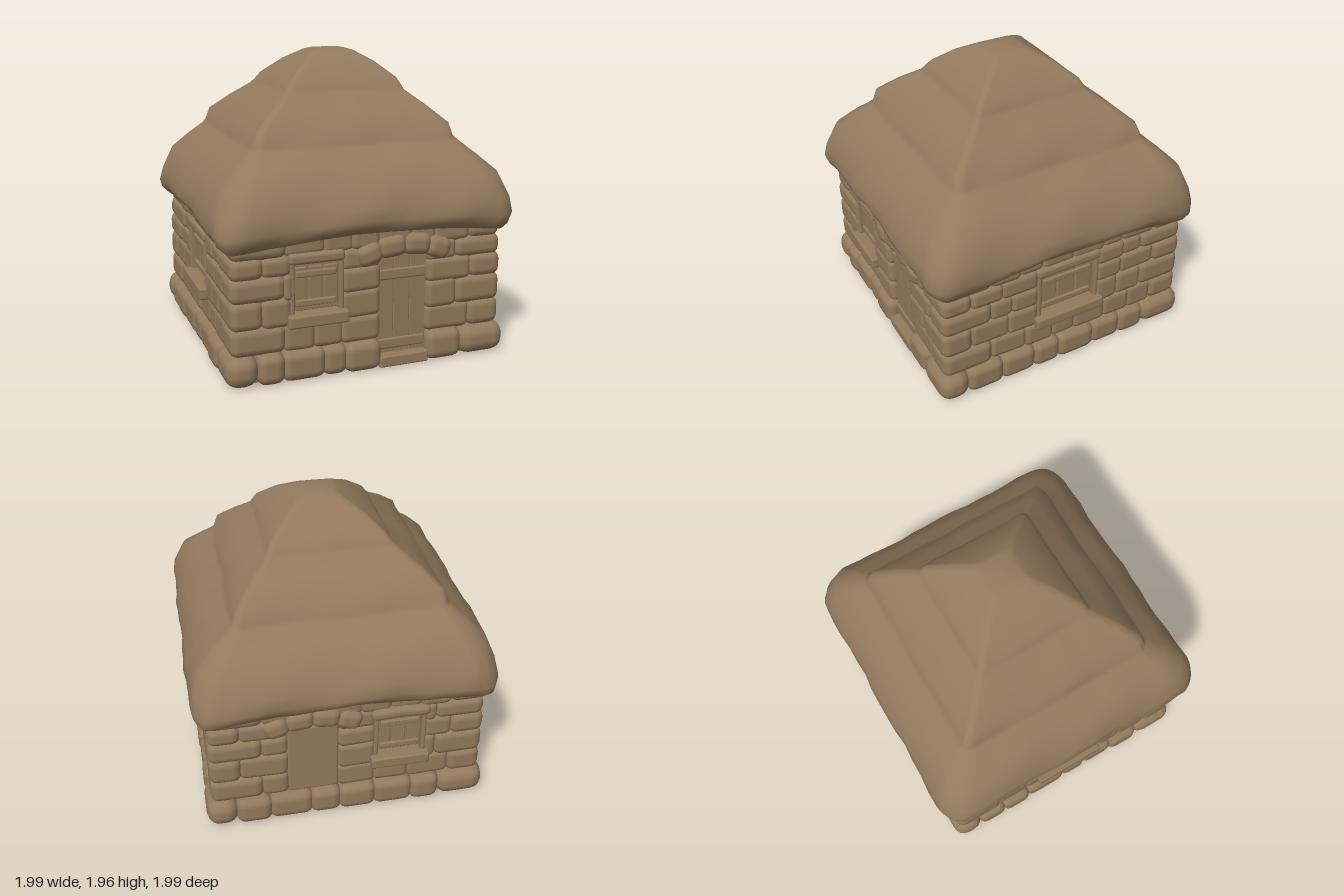
import * as THREE from 'three';
import { RoundedBoxGeometry } from 'three/addons/geometries/RoundedBoxGeometry.js';

const clay = new THREE.MeshStandardMaterial({ color: 0x937a5d });
clay.name = 'brown clay';

function seeded(s) {
  return () => {
    s = (s * 16807) % 2147483647;
    return s / 2147483647;
  };
}
const rand = seeded(4271);
const jitter = (a) => (rand() - 0.5) * 2 * a;

// One soft-edged block, centred at (x, y, z)
function block(parent, name, w, h, d, x, y, z, r = 0.02, rotZ = 0) {
  const radius = Math.min(r, w * 0.48, h * 0.48, d * 0.48);
  const mesh = new THREE.Mesh(new RoundedBoxGeometry(w, h, d, 2, radius), clay);
  mesh.name = name;
  mesh.position.set(x, y, z);
  mesh.rotation.z = rotZ;
  parent.add(mesh);
  return mesh;
}

// Stone courses: bottom, top, outer face distance
const COURSES = [
  [0.0, 0.2, 0.935], [0.2, 0.36, 0.9], [0.36, 0.53, 0.9],
  [0.53, 0.67, 0.9], [0.67, 0.79, 0.895], [0.79, 0.92, 0.89],
];
const LAP = 0.012;

// One wall facing local +z; holes are [x0, x1, y0, y1] kept clear of stones
function wall(name, angle, holes) {
  const g = new THREE.Group();
  g.name = name;
  g.rotation.y = angle;
  COURSES.forEach(([y0, y1, face], row) => {
    const legs = row % 2 ? [0.22, 0.34] : [0.32, 0.2];
    const h = y1 - y0, yMid = (y0 + y1) / 2;
    const yLap = row === 0 ? 0 : LAP;
    // Corner stone shared with the neighbouring wall
    block(g, 'cornerStone', legs[0] + LAP, h + yLap * 2, legs[1] + LAP,
      face - legs[0] / 2, yMid, face - legs[1] / 2, row ? 0.055 : 0.085);

    // Free spans between corners and openings
    let spans = [[-face + legs[1], face - legs[0]]];
    for (const [a, b, bottom, top] of holes) {
      if (yMid < bottom || yMid > top) continue;
      spans = spans.flatMap(([s, e]) => (b <= s || a >= e ? [[s, e]] : [[s, a], [b, e]]))
        .filter(([s, e]) => e - s > 0.03);
    }
    for (const [s, e] of spans) {
      const n = Math.max(1, Math.round((e - s) / 0.22));
      const cuts = [s];
      for (let i = 1; i < n; i++) cuts.push(s + ((i + jitter(0.22)) / n) * (e - s));
      cuts.push(e);
      for (let i = 0; i < n; i++) {
        const w = cuts[i + 1] - cuts[i];
        block(g, 'wallStone', w + LAP * 2, h + yLap * 2 + (row ? jitter(0.012) : 0), 0.16,
          (cuts[i] + cuts[i + 1]) / 2, yMid, face - 0.08 + jitter(0.008),
          row ? 0.045 : 0.06, row ? jitter(0.03) : 0);
      }
    }
  });
  return g;
}

// Shuttered window with sill and lintel
function windowUnit(x, width, arched) {
  const g = new THREE.Group();
  g.name = 'window';
  const y0 = 0.43, y1 = 0.74, mid = (y0 + y1) / 2;
  block(g, 'windowBack', width, y1 - y0, 0.06, x, mid, 0.82, 0.005);
  for (let i = 0; i < 3; i++) {
    block(g, 'shutterBoard', width / 3 - 0.012, y1 - y0 - 0.06, 0.03,
      x + (i - 1) * width / 3, mid, 0.848, 0.008);
  }
  for (const y of [0.485, 0.668]) {
    block(g, 'shutterRail', width * 0.86, 0.04, 0.025, x, y, 0.868, 0.008);
  }
  for (const s of [-1, 1]) {
    block(g, 'windowJamb', 0.03, y1 - y0 + 0.02, 0.1, x + s * (width / 2 + 0.008), mid, 0.85, 0.012);
  }
  block(g, 'windowSill', width + 0.09, 0.08, 0.13, x, 0.39, 0.88, 0.015);
  if (arched) {
    for (const s of [-1, 1]) {
      block(g, 'windowLintel', width / 2 + 0.07, 0.08, 0.13,
        x + s * (width / 4 + 0.01), 0.767, 0.855, 0.035, -s * 0.06);
    }
  } else {
    block(g, 'windowLintel', width + 0.06, 0.07, 0.12, x, 0.77, 0.85, 0.025);
  }
  return g;
}

// Row of stones bowed over the doorway
function doorArch(g, x, z) {
  const parts = [[-0.235, 0.752, 0.17, 0.32], [-0.085, 0.79, 0.19, 0.1],
    [0.085, 0.79, 0.19, -0.1], [0.235, 0.752, 0.17, -0.32]];
  for (const [dx, y, w, rot] of parts) {
    block(g, 'archStone', w, 0.145, 0.16, x + dx, y, z, 0.055, rot);
  }
}

function doorway(x) {
  const g = new THREE.Group();
  g.name = 'door';
  for (let i = 0; i < 3; i++) {
    block(g, 'doorPlank', 0.114, 0.72, 0.05, x + (i - 1) * 0.111, 0.38, 0.836, 0.008);
  }
  for (const y of [0.14, 0.6]) block(g, 'doorRail', 0.33, 0.07, 0.03, x, y, 0.856, 0.012);
  block(g, 'doorStep', 0.335, 0.075, 0.12, x, 0.042, 0.865, 0.012);
  doorArch(g, x, 0.85);
  return g;
}

// Doorway at the rear closed with a plain slab
function blockedDoorway(x) {
  const g = new THREE.Group();
  g.name = 'blockedDoorway';
  block(g, 'slab', 0.34, 0.54, 0.1, x, 0.46, 0.83, 0.02);
  doorArch(g, x, 0.84);
  return g;
}

// Thatch: rounded-square rings [half width, height, corner radius] from eave to peak
const ROOF = [
  [0.8, 0.87, 0.05], [0.88, 0.86, 0.08], [0.935, 0.868, 0.12], [0.97, 0.905, 0.16],
  [0.985, 0.96, 0.18], [0.967, 1.05, 0.18], [0.905, 1.2, 0.16], [0.8, 1.3, 0.12],
  [0.7, 1.385, 0.08], [0.675, 1.41, 0.06], [0.645, 1.495, 0.05], [0.53, 1.6, 0.045],
  [0.415, 1.69, 0.04], [0.395, 1.72, 0.04], [0.365, 1.77, 0.035], [0.25, 1.87, 0.035],
  [0.14, 1.937, 0.04], [0.1, 1.95, 0.05], [0.001, 1.955, 0.0005],
];

function roof() {
  const ARC = 6, SIDE = 14, N = 4 * (ARC + SIDE);
  const pos = [], index = [];
  ROOF.forEach(([half, height, c], i) => {
    for (let k = 0; k < 4; k++) {
      for (let j = 0; j < ARC + SIDE; j++) {
        // Straight side first, then the rounded corner
        let u = half, v;
        if (j < SIDE) v = (half - c) * (2 * j / SIDE - 1);
        else {
          const a = ((j - SIDE) / ARC) * Math.PI / 2;
          u = half - c + c * Math.cos(a);
          v = half - c + c * Math.sin(a);
        }
        const t = k * Math.PI / 2, cs = Math.round(Math.cos(t)), sn = Math.round(Math.sin(t));
        let x = u * cs - v * sn, z = u * sn + v * cs, y = height;
        // Uneven straw, drooping at the corners
        const wob = 1 + 0.007 * Math.sin(9 * v + i * 1.3 + k) + 0.004 * Math.sin(23 * v + k * 2);
        x *= wob;
        z *= wob;
        const m = (Math.min(Math.abs(x), Math.abs(z)) / Math.max(Math.abs(x), Math.abs(z))) ** 2;
        const low = THREE.MathUtils.clamp((1.1 - height) / 0.2, 0, 1);
        y += low * (0.03 - 0.065 * m);
        x += 0.04 * THREE.MathUtils.clamp((height - 1.5) / 0.45, 0, 1);
        pos.push(x, y, z);
        if (i < ROOF.length - 1) {
          const n = k * (ARC + SIDE) + j;
          const a = i * N + n, b = i * N + (n + 1) % N;
          index.push(a, a + N, b, b, a + N, b + N);
        }
      }
    }
  });
  const geo = new THREE.BufferGeometry();
  geo.setAttribute('position', new THREE.Float32BufferAttribute(pos, 3));
  geo.setIndex(index);
  geo.computeVertexNormals();
  const mesh = new THREE.Mesh(geo, clay);
  mesh.name = 'thatchedRoof';
  return mesh;
}

export function createModel() {
  const house = new THREE.Group();
  house.name = 'cottage';
  block(house, 'wallCore', 1.68, 0.88, 1.68, 0, 0.46, 0, 0.02);

  // Front: window and door
  const front = wall('frontWall', 0, [[-0.53, -0.19, 0.35, 0.8], [0.05, 0.385, 0, 0.8]]);
  front.add(windowUnit(-0.36, 0.3, false), doorway(0.217));
  // Rear: matching window and closed doorway
  const back = wall('backWall', Math.PI, [[0.17, 0.51, 0.35, 0.8], [-0.4, -0.06, 0.2, 0.8]]);
  back.add(windowUnit(0.34, 0.3, true), blockedDoorway(-0.23));
  house.add(front, back);
  // Sides: one wide window each
  for (const s of [1, -1]) {
    const side = wall(s > 0 ? 'leftWall' : 'rightWall', s * Math.PI / 2, [[-0.23, 0.23, 0.35, 0.8]]);
    side.add(windowUnit(0, 0.42, false));
    house.add(side);
  }

  // Paving under the house
  const floor = new THREE.Group();
  floor.name = 'floorStones';
  for (let r = 0; r < 7; r++) {
    for (let c = 0; c < 5; c++) {
      const w = 1.7 / 5, shift = r % 2 ? 0.03 : -0.03;
      block(floor, 'floorStone', w + 0.01, 0.06, 0.25, (c - 2) * w + shift, 0.034 + jitter(0.004),
        (r - 3) * 0.243, 0.015);
    }
  }
  house.add(floor, roof());
  return house;
}
